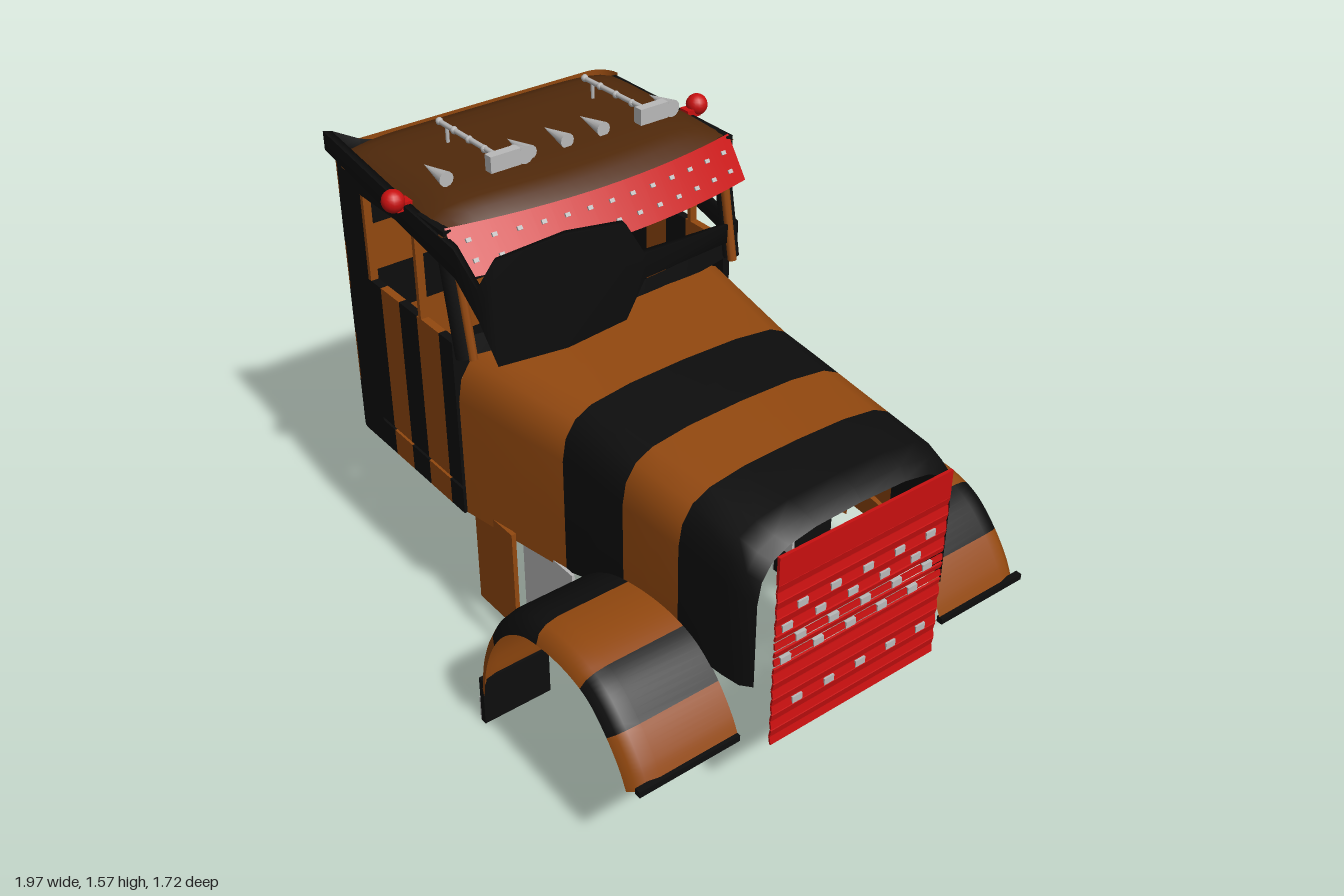
import * as THREE from 'three';

const mat = (name, color) => new THREE.MeshStandardMaterial({ name, color, side: THREE.DoubleSide });

export function createModel() {
  const orange = mat('burntOrange', 0x92480f), black = mat('black', 0x0d0d0d);
  const brown = mat('roofBrown', 0x50290b), red = mat('red', 0xc81010), grey = mat('lightGrey', 0xb9b9b9);
  const root = new THREE.Group();
  root.name = 'truckCab';
  // The truck points along its own +x and is turned ten degrees
  const truck = new THREE.Group();
  truck.name = 'truck';
  truck.rotation.y = -Math.PI / 18;
  root.add(truck);

  const add = (name, geo, m, parent = truck) => {
    const mesh = new THREE.Mesh(geo, m);
    mesh.name = name;
    parent.add(mesh);
    return mesh;
  };
  // Box given by its ranges on each axis
  const box = (name, m, x0, x1, y0, y1, z0, z1) => {
    const mesh = add(name, new THREE.BoxGeometry(x1 - x0, y1 - y0, Math.abs(z1 - z0)), m);
    mesh.position.set((x0 + x1) / 2, (y0 + y1) / 2, (z0 + z1) / 2);
    return mesh;
  };
  // Surface through rows of points
  const loft = (rows) => {
    const n = rows[0].length, pos = rows.flat(2), index = [];
    for (let i = 0; i < rows.length - 1; i++) for (let j = 0; j < n - 1; j++) {
      const a = i * n + j, b = a + n;
      index.push(a, b, a + 1, a + 1, b, b + 1);
    }
    const g = new THREE.BufferGeometry();
    g.setAttribute('position', new THREE.Float32BufferAttribute(pos, 3));
    g.setIndex(index);
    g.computeVertexNormals();
    return g;
  };
  const rod = (name, m, a, b, r) => {
    const p = new THREE.Vector3(...a), q = new THREE.Vector3(...b);
    return add(name, new THREE.TubeGeometry(new THREE.LineCurve3(p, q), 1, r, 8), m);
  };
  const lerpTable = (table, x, k) => {
    let i = 0;
    while (i < table.length - 2 && x > table[i + 1][0]) i++;
    const a = table[i], b = table[i + 1];
    return a[k] + (b[k] - a[k]) * (x - a[0]) / (b[0] - a[0]);
  };

  // Hood: x, half width, top, bottom
  const hood = [[-0.25, 0.5, 1.06, 0.49], [0, 0.455, 1.05, 0.49], [0.16, 0.425, 1.045, 0.49],
    [0.3, 0.415, 1.04, 0.53], [0.8, 0.38, 1.015, 0.53], [0.86, 0.37, 1.0, 0.53], [0.89, 0.345, 0.975, 0.53]];
  const hoodRow = (x) => {
    const [W, T, B] = [1, 2, 3].map(k => lerpTable(hood, x, k));
    const half = [[W, B], [W, 0.62], [W, T - 0.17], [W - 0.012, T - 0.1], [W - 0.045, T - 0.05],
      [W - 0.1, T - 0.022], [W * 0.45, T - 0.005], [0, T]];
    const other = half.slice(0, -1).reverse().map(([z, y]) => [-z, y]);
    return [...half, ...other].map(([z, y]) => [x, y, z]);
  };
  [[[-0.25, 0, 0.16], orange], [[0.16, 0.3, 0.41], black], [[0.41, 0.52, 0.63], orange],
    [[0.63, 0.8, 0.86, 0.89], black]].forEach(([xs, m]) => add('hoodStripe', loft(xs.map(hoodRow)), m));

  // Cab rear wall: horizontal bands wrapped round the corners
  const plan = [];
  for (const s of [1, -1]) {
    const arc = [];
    for (let i = 0; i <= 6; i++) {
      const a = i / 6 * Math.PI / 2;
      arc.push([-0.83 - 0.07 * Math.sin(a), s * (0.44 + 0.07 * Math.cos(a))]);
    }
    plan.push(...(s > 0 ? arc : arc.reverse()));
  }
  const bands = [0.49, 0.67, 0.84, 1.0, 1.16, 1.32, 1.45];
  for (let i = 0; i < 6; i++)
    add('rearBand', loft([bands[i], bands[i + 1]].map(y => plan.map(([x, z]) => [x, y, z]))), i % 2 ? orange : black);

  // Cab sides: striped doors, sills, window frames, lower panels
  const columns = [[-0.715, -0.645, black], [-0.645, -0.54, orange], [-0.54, -0.44, black],
    [-0.44, -0.32, orange], [-0.32, -0.25, black]];
  for (const s of [1, -1]) {
    const a = s * 0.485, b = s * 0.51;
    box('rearPost', black, -0.84, -0.715, 0.49, 1.44, a, b);
    for (const [x0, x1, m] of columns) {
      box('doorStripe', m, x0, x1, 0.592, 1.09, a, b);
      box('sillStripe', m, x0, x1, 0.49, 0.58, a, b);
    }
    box('windowRail', black, -0.715, -0.25, 1.37, 1.44, a, b);
    box('windowRearTrim', orange, -0.715, -0.7, 1.09, 1.37, a, b);
    box('ventPost', orange, -0.43, -0.415, 1.09, 1.38, a, b);
    rod('windshieldPillar', black, [-0.22, 1.05, s * 0.49], [-0.29, 1.42, s * 0.49], 0.026);
    rod('pillarTrim', orange, [-0.195, 1.05, s * 0.475], [-0.265, 1.42, s * 0.475], 0.014);
    box('cowlPanel', orange, -0.24, -0.04, 0.16, 0.52, s * 0.465, s * 0.48);
    box('innerPanel', grey, -0.05, 0.2, 0.15, 0.5, s * 0.425, s * 0.435);

    // Fender: arched strip with a rolled outer edge
    const arch = new THREE.CatmullRomCurve3([[0.09, 0.16], [0.11, 0.28], [0.16, 0.41], [0.24, 0.52], [0.35, 0.595],
      [0.47, 0.62], [0.6, 0.615], [0.7, 0.58], [0.79, 0.5], [0.85, 0.42], [0.88, 0.36]]
      .map(([x, y]) => new THREE.Vector3(x, y, 0)));
    const row = (t) => {
      const p = arch.getPoint(t), d = arch.getTangent(t);
      return [[0.38, 0], [0.64, 0], [0.68, 0.008], [0.705, 0.025], [0.718, 0.055]]
        .map(([z, drop]) => [p.x + d.y * drop, p.y - d.x * drop, s * z]);
    };
    const cuts = [[0.17, orange], [0.41, black], [0.64, orange], [0.79, black], [1, orange]];
    let rows = [row(0)], c = 0;
    for (let i = 1; i <= 60; i++) {
      rows.push(row(i / 60));
      if (arch.getPoint(i / 60).x >= cuts[c][0] || i === 60) {
        add('fenderStripe', loft(rows), cuts[c][1]);
        rows = [rows[rows.length - 1]];
        c++;
      }
    }
    box('fenderFrontLip', black, 0.865, 0.885, 0.355, 0.375, s * 0.38, s * 0.715);
    box('mudflap', black, 0.08, 0.1, 0, 0.17, s * 0.46, s * 0.695);
    box('mudflapBackPlate', grey, 0.074, 0.08, 0, 0.09, s * 0.46, s * 0.695);

    // Red corner beacon
    add('beacon', new THREE.SphereGeometry(0.034, 16, 12), red).position.set(-0.46, 1.46, s * 0.54);
    box('beaconFoot', red, -0.48, -0.44, 1.43, 1.455, s * 0.49, s * 0.54);
  }

  // Windshield base and header, bowed forward
  const bow = (z) => 0.06 * (1 - (z / 0.5) ** 2);
  const across = Array.from({ length: 17 }, (_, i) => -0.5 + i / 16);
  const strip = (name, m, x0, y0, x1, y1) =>
    add(name, loft([[x0, y0], [x1, y1]].map(([x, y]) => across.map(z => [x + bow(z), y, z]))), m);
  strip('windshieldBase', black, -0.24, 1.04, -0.25, 1.1);
  strip('windshieldHeader', black, -0.26, 1.37, -0.27, 1.44);

  // Domed roof
  const roofRows = [];
  for (let i = 0; i <= 14; i++) {
    const t = i / 14, e = 1 - Math.abs(2 * t - 1) ** 5;
    roofRows.push(Array.from({ length: 21 }, (_, j) => {
      const v = j / 10 - 1, z = v * (0.515 - 0.03 * Math.max(0, 1 - t * 8));
      const x = -0.89 + t * (0.64 + bow(v * 0.5));
      return [x, 1.425 + 0.065 * Math.pow(Math.max(0, e * (1 - v ** 6)), 0.6), z];
    }));
  }
  add('roof', loft(roofRows), brown);

  // Red sun visor with rows of small studs
  strip('sunVisor', red, -0.26, 1.445, -0.175, 1.325);
  for (const r of [0.3, 0.7]) for (let i = 0; i < 13; i++) {
    const z = -0.45 + i * 0.075;
    const stud = add('visorStud', new THREE.BoxGeometry(0.012, 0.006, 0.016), grey);
    stud.position.set(-0.26 + 0.085 * r + bow(z) + 0.002, 1.446 - 0.12 * r, z);
    stud.rotation.z = -0.95;
  }

  // Roof marker lights
  for (const z of [-0.4, -0.14, -0.01, 0.12, 0.4]) {
    const bullet = add('markerLight', new THREE.ConeGeometry(0.023, 0.12, 12), grey);
    bullet.rotation.z = Math.PI / 2;
    bullet.position.set(-0.46, 1.508, z);
  }
  // Roof horns
  for (const z of [-0.275, 0.247]) {
    rod('hornPipe', grey, [-0.69, 1.54, z], [-0.34, 1.545, z], 0.008);
    for (const x of [-0.68, -0.6, -0.52, -0.44])
      add('hornRing', new THREE.SphereGeometry(0.012, 8, 6), grey).position.set(x, 1.541, z);
    for (const x of [-0.64, -0.42]) rod('hornLeg', grey, [x, 1.48, z], [x, 1.54, z], 0.006);
    box('hornBell', grey, -0.36, -0.33, 1.52, 1.57, z - 0.05, z + 0.05);
    const bell = add('hornCone', new THREE.CylinderGeometry(0.026, 0.008, 0.07, 12), grey);
    bell.rotation.z = -Math.PI / 2;
    bell.position.set(-0.37, 1.54, z - 0.07);
  }

  // Grille: tilted slats with staggered studs
  box('grilleTop', red, 0.913, 0.923, 0.87, 0.96, -0.305, 0.305);
  for (let i = 0; i < 20; i++) {
    const y = 0.335 + i * 0.0275;
    const gap = y > 0.56 && y < 0.72;
    const slat = add('grilleSlat', new THREE.BoxGeometry(0.006, gap ? 0.018 : 0.025, 0.61), red);
    slat.position.set(0.918, y, 0);
    slat.rotation.z = i % 2 ? -0.2 : 0.2;
    if ([4, 10, 12, 14, 16].includes(i)) for (let k = 0; k < 5; k++)
      box('grilleStud', grey, 0.915, 0.925, y - 0.011, y + 0.011, -0.26 + k * 0.115 + (i % 4) * 0.025, -0.225 + k * 0.115 + (i % 4) * 0.025);
  }

  // Tilted black band looped round the cab: x, y, z, height
  const loop = [[-0.975, 1.475, 0.35, 0.06], [-0.62, 1.425, 0.42, 0.07], [-0.28, 1.37, 0.475, 0.09],
    [-0.2, 1.27, 0.47, 0.1], [-0.17, 1.235, 0.435, 0.33], [-0.11, 1.24, 0.22, 0.36], [-0.07, 1.235, 0.02, 0.31],
    [-0.075, 1.22, -0.065, 0.08], [-0.13, 1.13, -0.55, 0.06], [-0.71, 1.06, -0.865, 0.06],
    [-0.81, 1.065, -0.845, 0.06], [-0.87, 1.14, -0.6, 0.05], [-0.96, 1.43, 0.26, 0.05], [-0.975, 1.475, 0.35, 0.06]];
  const bandRows = loop.map(([x, y, z, h]) => {
    const d = new THREE.Vector2(-0.5 - x, -0.15 - z).setLength(0.025);
    const o = [x, z], n = [x + d.x, z + d.y];
    return [[o, 1], [o, -1], [n, -1], [n, 1], [o, 1]].map(([p, k]) => [p[0], y + k * h / 2, p[1]]);
  });
  add('loopBand', loft(bandRows), black, root);

  return root;
}
